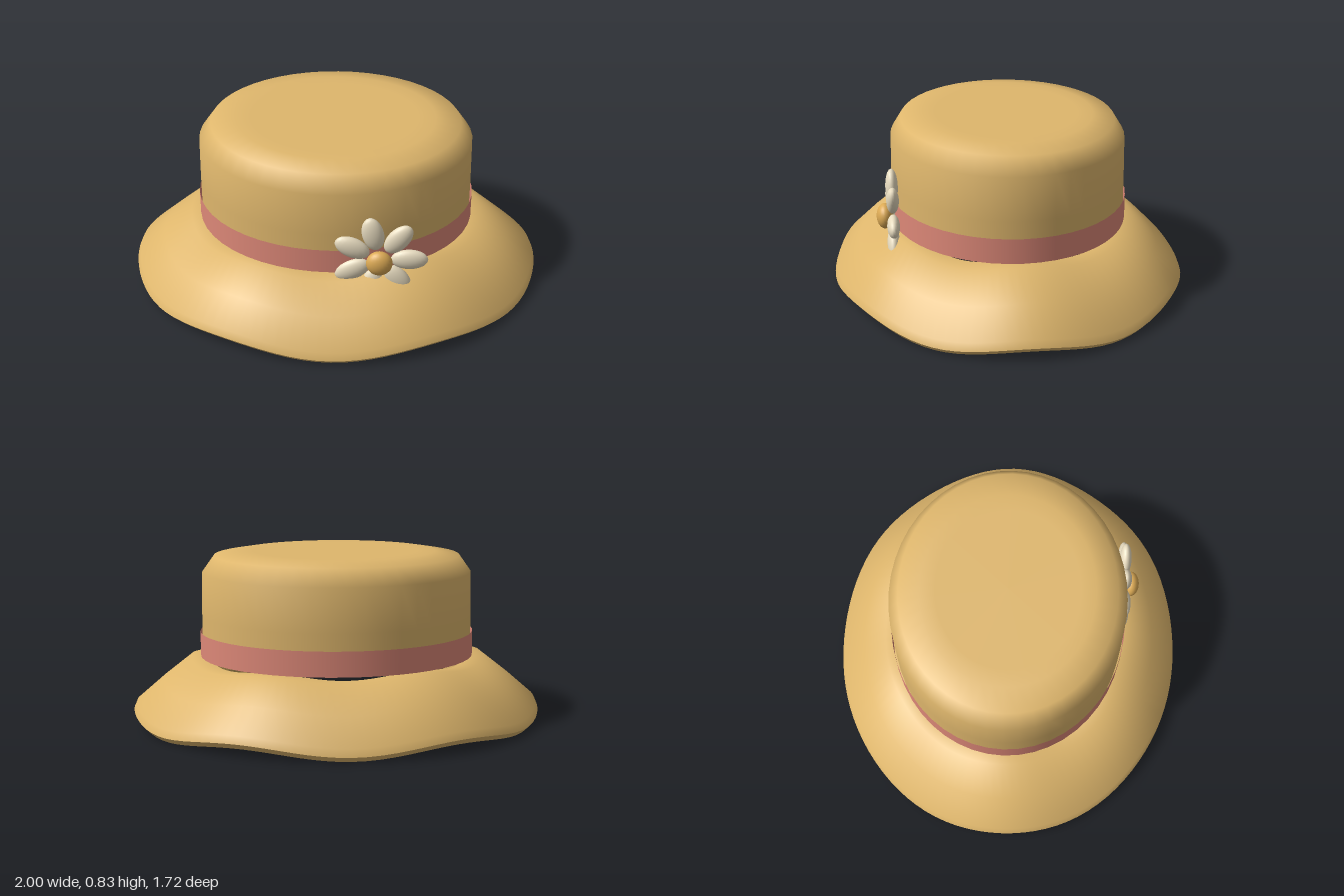
import * as THREE from 'three';
import { toCreasedNormals } from 'three/addons/utils/BufferGeometryUtils.js';

const DEPTH = 0.86; // oval plan: depth relative to width
const SEGMENTS = 48;

const points = (list) => list.map(([r, y]) => new THREE.Vector2(r, y));

export function createModel() {
  const hat = new THREE.Group();
  hat.name = 'sunHat';

  const material = (name, color, side = THREE.FrontSide) => {
    const m = new THREE.MeshStandardMaterial({ color, side });
    m.name = name;
    return m;
  };
  const straw = material('straw', 0xdeb66c, THREE.DoubleSide);
  const ribbon = material('ribbon', 0xdd8878, THREE.DoubleSide);
  const petalCream = material('petalCream', 0xe8dcc0);
  const flowerGold = material('flowerGold', 0xdcaa55);

  const add = (parent, name, geometry, mat) => {
    const mesh = new THREE.Mesh(geometry, mat);
    mesh.name = name;
    parent.add(mesh);
    return mesh;
  };

  // Crown: thin shell with a rounded top and a small flange turned in below
  const crown = new THREE.LatheGeometry(points([
    [0.66, 0.32], [0.66, 0.52], [0.657, 0.73], [0.6, 0.81], [0.48, 0.83], [0.4, 0.83], [0, 0.83],
  ]), SEGMENTS);
  crown.scale(1, 1, DEPTH);
  add(hat, 'crown', crown, straw);

  const flange = new THREE.RingGeometry(0.61, 0.66, SEGMENTS);
  flange.rotateX(Math.PI / 2);
  flange.scale(1, 1, DEPTH);
  flange.translate(0, 0.32, 0);
  add(hat, 'crownFlange', flange, straw);

  // Band around the foot of the crown
  const band = new THREE.CylinderGeometry(0.67, 0.67, 0.12, SEGMENTS, 1, true);
  band.scale(1, 1, DEPTH);
  band.translate(0, 0.38, 0);
  add(hat, 'hatBand', band, ribbon);

  // Brim: thick sloping ring, rippled six times around
  const brim = new THREE.LatheGeometry(points([
    [0.63, 0.185], [0.8, 0.11], [0.94, 0.03], [0.975, 0.02], [1, 0.045], [0.985, 0.08],
    [0.855, 0.195], [0.715, 0.308], [0.63, 0.308], [0.63, 0.185],
  ]), SEGMENTS * 2);
  const p = brim.attributes.position;
  for (let i = 0; i < p.count; i++) {
    const x = p.getX(i), z = p.getZ(i);
    const ripple = THREE.MathUtils.mapLinear(Math.hypot(x, z), 0.63, 1, 0.011, 0.019);
    p.setY(i, p.getY(i) - ripple * Math.cos(6 * Math.atan2(x, z)));
  }
  brim.scale(1, 1, DEPTH);
  add(hat, 'brim', toCreasedNormals(brim, 1.0), straw);

  // Daisy on the band: seven petals around a domed centre
  const flower = new THREE.Group();
  flower.name = 'flower';
  flower.position.set(0.215, 0.397, 0.572);
  hat.add(flower);

  const petal = new THREE.SphereGeometry(1, 20, 14);
  petal.scale(0.086, 0.05, 0.03);
  petal.translate(0.138, 0, 0);
  for (let i = 0; i < 7; i++) {
    add(flower, 'petal', petal, petalCream).rotation.z = (i / 7) * Math.PI * 2;
  }
  const centre = new THREE.SphereGeometry(1, 24, 16);
  centre.scale(0.061, 0.061, 0.04);
  add(flower, 'flowerCentre', centre, flowerGold).position.z = 0.036;

  return hat;
}
